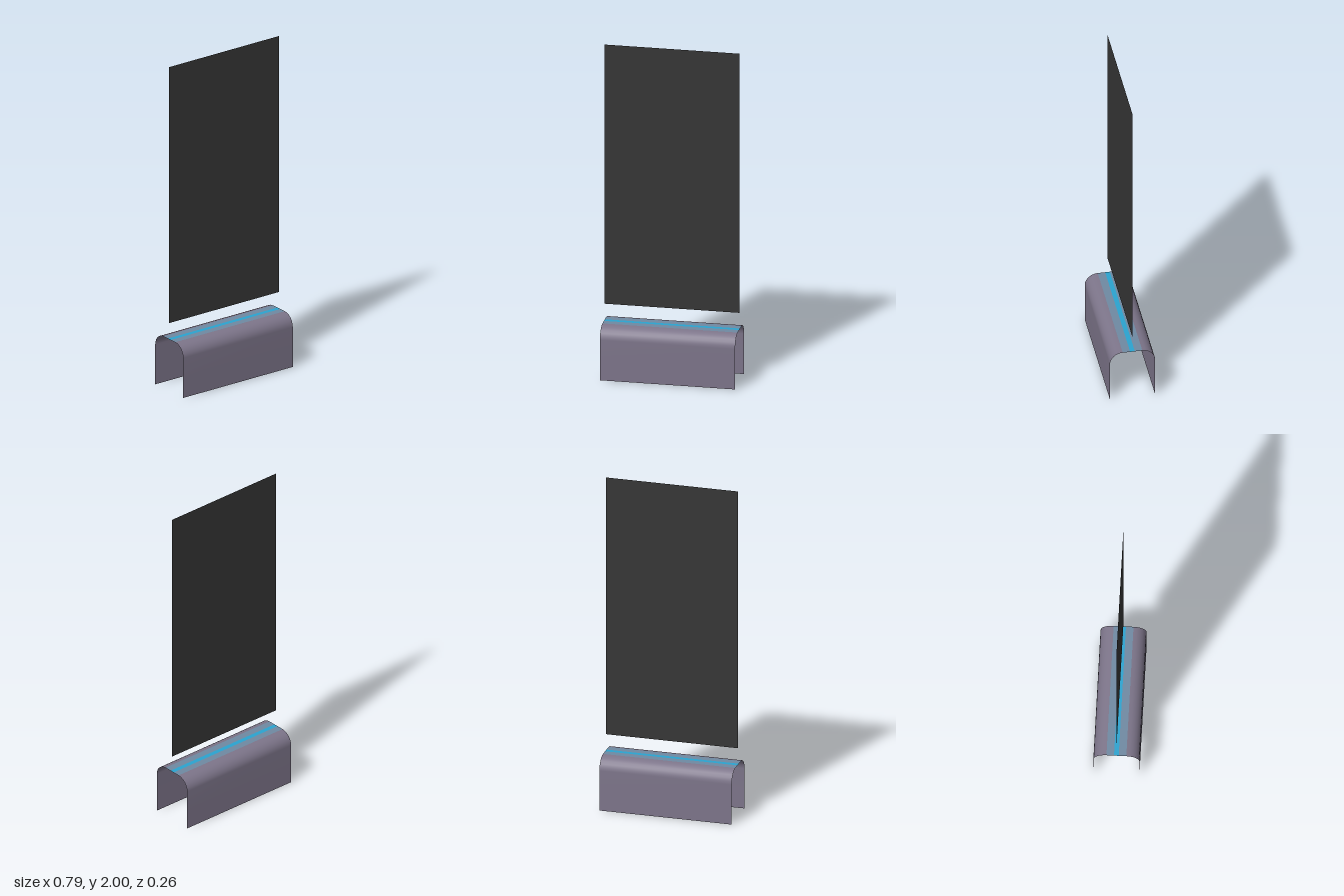
import * as THREE from 'three';

const HALF = 0.395;

const material = (name, color) =>
  new THREE.MeshStandardMaterial({ name, color, side: THREE.DoubleSide });

// Sheet spanning the full width along a list of [z, y] profile points, front to back
function sheet(name, profile, mat) {
  const positions = [], index = [];
  profile.forEach(([z, y], i) => {
    positions.push(-HALF, y, z, HALF, y, z);
    if (i) {
      const a = 2 * i - 2;
      index.push(a, a + 1, a + 3, a, a + 3, a + 2);
    }
  });
  const geometry = new THREE.BufferGeometry();
  geometry.setAttribute('position', new THREE.Float32BufferAttribute(positions, 3));
  geometry.setIndex(index);
  geometry.computeVertexNormals();
  const mesh = new THREE.Mesh(geometry, mat);
  mesh.name = name;
  return mesh;
}

export function createModel() {
  const group = new THREE.Group();
  group.name = 'standingScreen';

  const shellGrey = material('mauve grey', 0x7d758a);
  const bandBlue = material('muted blue', 0x6f8aa3);
  const stripCyan = material('cyan', 0x2ba4d0);
  const screenBlack = material('charcoal', 0x363636);

  // Open shell: straight walls with rounded shoulders
  const top = 0.32, depth = 0.132, r = 0.075, steps = 6;
  const wall = [[depth, 0], [depth, 0.12], [depth, top - r]];
  for (let i = 1; i <= steps; i++) {
    const t = (i / steps) * Math.PI / 2;
    wall.push([depth - r + r * Math.cos(t), top - r + r * Math.sin(t)]);
  }
  const backWall = wall.map(([z, y]) => [-z, y]).reverse();
  group.add(sheet('frontShell', wall, shellGrey), sheet('backShell', backWall, shellGrey));

  // Flat top: two blue bands beside a bright centre strip
  const edge = depth - r, strip = 0.0135;
  group.add(
    sheet('frontBand', [[edge, top], [strip, top]], bandBlue),
    sheet('lightStrip', [[strip, top], [-strip, top]], stripCyan),
    sheet('backBand', [[-strip, top], [-edge, top]], bandBlue),
  );

  // Thin screen floating above the base
  const screen = new THREE.Mesh(new THREE.PlaneGeometry(2 * HALF, 1.58), screenBlack);
  screen.name = 'screen';
  screen.position.y = 1.21;
  group.add(screen);

  return group;
}
